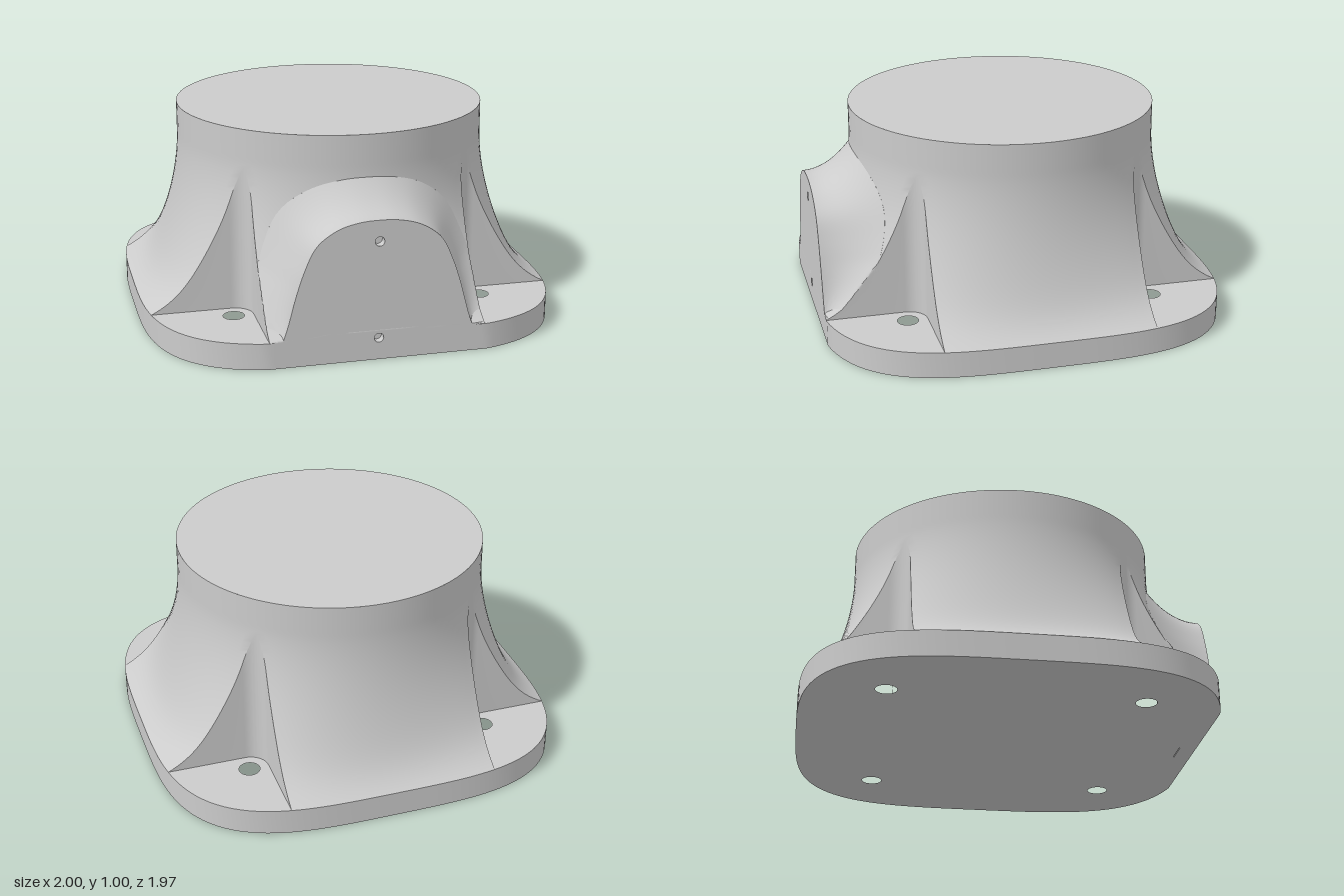
import * as THREE from 'three';
import { mergeVertices, toCreasedNormals } from 'three/addons/utils/BufferGeometryUtils.js';

const Z0 = 0.015, FRONT = 0.985, PLATE = 0.125, TOP_R = 0.75; // centre line, flat front, plate height, top radius
const WALL = 0.505, FILLET = 0.09; // corner pocket walls and their inner fillet
const grey = new THREE.MeshStandardMaterial({ color: 0xcccccc });

// Rounded-square outline
const outlineR = (a) =>
  Math.pow(Math.abs(Math.cos(a)) ** 3.5 + Math.abs(Math.sin(a)) ** 3.5, -1 / 3.5);

// Body radius: rounded square at the plate flowing into a circle
function loftR(a, y) {
  const q = Math.max(0, (0.85 - y) / 0.725);
  return TOP_R + (0.75 * q ** 1.8 + 0.25 * q ** 12) * (outlineR(a) - TOP_R);
}

// Distance to the filleted pocket wall, for angles of 0 to 45 degrees
function pocketR(a) {
  const c = WALL + FILLET;
  if (a < Math.atan2(WALL, c)) return WALL / Math.sin(a);
  const d = c * (Math.cos(a) + Math.sin(a));
  return d - Math.sqrt(Math.max(0, d * d - 2 * c * c + FILLET * FILLET));
}

function bisect(f, lo, hi) {
  for (let k = 0; k < 40; k++) {
    const mid = (lo + hi) / 2;
    if (f(mid) > 0) hi = mid; else lo = mid;
  }
  return (lo + hi) / 2;
}

// Front surface of the body at a given x and y
const bodyZ = (x, y) =>
  Math.min(FRONT, Z0 + bisect((z) => Math.hypot(x, z) - loftR(Math.atan2(z, x), y), 0, 1.2));

// Surface from a grid of points
function gridGeometry(point, ni, nj) {
  const pos = [], index = [];
  for (let i = 0; i <= ni; i++) for (let j = 0; j <= nj; j++) pos.push(...point(i, j));
  for (let i = 0; i < ni; i++) for (let j = 0; j < nj; j++) {
    const a = i * (nj + 1) + j, b = a + nj + 1;
    index.push(a, b, a + 1, a + 1, b, b + 1);
  }
  const g = new THREE.BufferGeometry();
  g.setAttribute('position', new THREE.Float32BufferAttribute(pos, 3));
  g.setIndex(index);
  return g;
}

function add(group, name, geometry, crease, material = grey) {
  const mesh = new THREE.Mesh(toCreasedNormals(geometry, crease), material);
  mesh.name = name;
  group.add(mesh);
  return mesh;
}

function circlePath(x, y, r) {
  const p = new THREE.Path();
  p.absarc(x, y, r, 0, Math.PI * 2, true);
  return p;
}

// One ring of the body: four curved sides with pocket walls between them
function bodyRing(y) {
  const H = Math.PI / 4, SIDE = 24, POCKET = 16;
  const edge = bisect((a) => loftR(a, y) - pocketR(a), 0.01, H);
  const tangent = Math.max(edge, Math.atan2(WALL, WALL + FILLET));
  const ring = [];
  const put = (a, r) =>
    ring.push([r * Math.cos(a), y, Math.min(FRONT, Z0 + r * Math.sin(a))]);
  for (let s = 0; s < 4; s++) {
    const mid = s * H * 2;
    for (let k = 0; k <= SIDE; k++) {
      const a = edge * (2 * k / SIDE - 1);
      put(mid + a, Math.min(loftR(a, y), pocketR(Math.max(0.01, Math.abs(a)))));
    }
    for (let k = 0; k <= POCKET; k++) {
      const a = tangent + (2 * H - 2 * tangent) * k / POCKET;
      const fold = Math.min(a, 2 * H - a);
      put(mid + a, Math.min(loftR(fold, y), pocketR(fold)));
    }
  }
  ring.push(ring[0]);
  return ring;
}

export function createModel() {
  const group = new THREE.Group();

  // Base plate with four bolt holes and a slot for the front panel's tab
  const outline = [];
  for (let k = 0; k <= 180; k++) {
    const a = Math.PI / 2 + 0.08 + (Math.PI * 2 - 0.16) * k / 180, r = outlineR(a);
    outline.push(new THREE.Vector2(r * Math.cos(a), -Math.min(FRONT, Z0 + r * Math.sin(a))));
  }
  for (const [x, z] of [[0.06, FRONT], [0.06, 0.9], [-0.06, 0.9], [-0.06, FRONT]])
    outline.push(new THREE.Vector2(x, -z));
  const plate = new THREE.Shape(outline);
  for (const x of [-0.6, 0.6]) for (const z of [-0.6, 0.6])
    plate.holes.push(circlePath(x, -(Z0 + z), 0.05));
  const plateGeo = new THREE.ExtrudeGeometry(plate, { depth: PLATE, bevelEnabled: false, curveSegments: 32 });
  add(group, 'basePlate', plateGeo.rotateX(-Math.PI / 2), 0.25);

  // Flared body with corner pockets
  const ROWS = 64, rings = [];
  for (let i = 0; i <= ROWS; i++) rings.push(bodyRing(PLATE + (1 - PLATE) * (i / ROWS) ** 1.4));
  const body = gridGeometry((i, j) => rings[i][j], ROWS, rings[0].length - 1);
  add(group, 'flaredBody', mergeVertices(body), 0.5);

  // Flat round top
  const top = new THREE.CircleGeometry(TOP_R, 128).rotateX(-Math.PI / 2).translate(0, 1, Z0);
  add(group, 'topFace', top, 0.1);

  // Arched front panel with two small screw holes
  const half = [[0.1, 0.658], [0.2, 0.628], [0.29, 0.56], [0.345, 0.45], [0.385, 0.33], [0.42, 0.2], [0.445, PLATE]];
  const arch = new THREE.SplineCurve([
    ...half.map(([x, y]) => new THREE.Vector2(-x, y)).reverse(),
    new THREE.Vector2(0, 0.665),
    ...half.map(([x, y]) => new THREE.Vector2(x, y)),
  ]);
  const N = 72;
  const panel = new THREE.Shape([
    ...arch.getPoints(N).reverse(),
    new THREE.Vector2(-0.06, PLATE), new THREE.Vector2(-0.06, 0),
    new THREE.Vector2(0.06, 0), new THREE.Vector2(0.06, PLATE),
  ]);
  const screwHeights = [0.105, 0.565];
  for (const y of screwHeights) panel.holes.push(circlePath(0, y, 0.022));
  const panelGeo = new THREE.ExtrudeGeometry(panel, { depth: 0.08, bevelEnabled: false, curveSegments: 16 });
  add(group, 'frontPanel', panelGeo.translate(0, 0, FRONT - 0.08), 0.4);
  for (const y of screwHeights)
    add(group, 'screwHoleFloor', new THREE.CircleGeometry(0.023, 24).translate(0, y, FRONT - 0.04), 0.1);

  // Concave flare joining the panel to the body, cut off at the pocket walls
  const M = 20;
  const flare = gridGeometry((i, j) => {
    const p = arch.getPoint(i / N), t = arch.getTangent(i / N);
    const at = (e) => [
      THREE.MathUtils.clamp(p.x - t.y * e, -WALL, WALL),
      Math.max(PLATE, p.y + t.x * e),
    ];
    const u = Math.min(1, j / (M - 1)), [x, y] = at(0.135 * u * u);
    const back = bodyZ(...at(0.135));
    // The last row sinks into the body
    return [x, y, FRONT + (back - FRONT) * u - (j === M ? 0.03 : 0)];
  }, N, M);
  add(group, 'frontFlare', flare, 0.6);

  return group;
}
